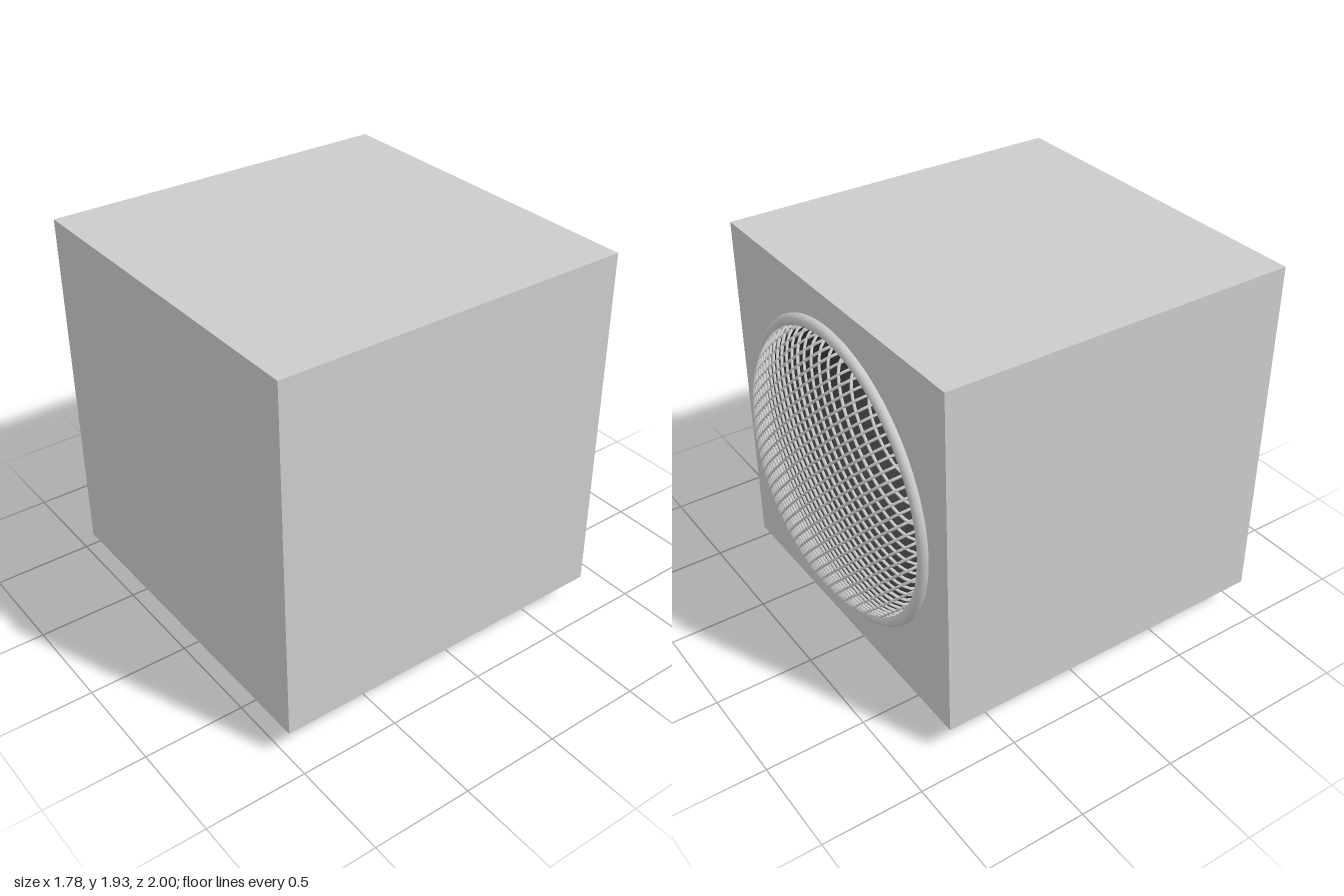
import * as THREE from 'three';

const CY = 1.04;      // height of the cabinet centre
const BACK = -0.775;  // z of the back panel
const HALF = 0.89;

const mat = (color, extra = {}) => new THREE.MeshStandardMaterial({ color, ...extra });

function add(parent, name, geometry, material, x = 0, y = 0, z = 0) {
  const mesh = new THREE.Mesh(geometry, material);
  mesh.name = name;
  mesh.position.set(x, y, z);
  parent.add(mesh);
  return mesh;
}

// Woven guard: a diagonal grid of wires laid over a shallow ellipsoid
function buildGrille(material) {
  const grille = new THREE.Group();
  grille.name = 'grille';
  const R = 0.7, bulge = 0.225, spacing = 0.045, wire = 0.007;
  for (const angle of [Math.PI / 4, -Math.PI / 4]) {
    const c = Math.cos(angle), s = Math.sin(angle);
    for (let i = -15; i <= 15; i++) {
      const d = i * spacing;
      const r = Math.sqrt(R * R - d * d);   // half length of this wire
      const h = bulge * r / R - wire;       // its rise at mid-length
      const points = [];
      for (let k = 0; k <= 16; k++) {
        const t = Math.PI * k / 16;
        const u = -r * Math.cos(t);
        points.push(new THREE.Vector3(u * c - d * s, u * s + d * c, -h * Math.sin(t)));
      }
      const curve = new THREE.CatmullRomCurve3(points);
      add(grille, 'grilleWire', new THREE.TubeGeometry(curve, 36, wire, 6), material);
    }
  }
  grille.position.set(0, CY, BACK);
  return grille;
}

// Square socket foot with chamfered rim and a hollow underside
function buildFoot() {
  const foot = new THREE.Group();
  foot.name = 'foot';
  const blue = mat(0x0e49c2, { flatShading: true });
  const profile = [[0, 0.05], [0.1, 0.05], [0.135, 0.008], [0.135, 0], [0.18, 0], [0.21, 0.015], [0.21, 0.15]]
    .map(([x, y]) => new THREE.Vector2(x * Math.SQRT2, y));
  add(foot, 'footBody', new THREE.LatheGeometry(profile, 4, Math.PI / 4), blue);
  // centre peg and four pegs around it
  add(foot, 'centrePeg', new THREE.CylinderGeometry(0.024, 0.024, 0.04, 12), blue, 0, 0.032, 0);
  for (let i = 0; i < 4; i++) {
    const a = i * Math.PI / 2;
    add(foot, 'sidePeg', new THREE.CylinderGeometry(0.015, 0.015, 0.03, 10), blue,
      0.062 * Math.cos(a), 0.037, 0.062 * Math.sin(a));
  }
  foot.position.z = 0.11;
  return foot;
}

export function createModel() {
  const model = new THREE.Group();
  model.name = 'speaker';
  const grey = mat(0xcccccc);

  // Cabinet: a box without its back, closed by a panel with a round opening
  const depth = 1 - BACK;
  const box = new THREE.BoxGeometry(2 * HALF, 2 * HALF, depth);
  box.setIndex(Array.from(box.index.array).slice(0, 30));
  box.clearGroups();
  add(model, 'cabinet', box, grey, 0, CY, BACK + depth / 2);

  const panel = new THREE.Shape([[-1, -1], [1, -1], [1, 1], [-1, 1]]
    .map(([x, y]) => new THREE.Vector2(x * HALF, y * HALF)));
  panel.holes.push(new THREE.Path().absarc(0, 0, 0.7, 0, Math.PI * 2, true));
  add(model, 'backPanel', new THREE.ShapeGeometry(panel, 48).rotateY(Math.PI), grey, 0, CY, BACK);

  // Recessed cone and its dark centre
  const coneDepth = 0.7;
  add(model, 'speakerCone',
    new THREE.CylinderGeometry(0.39, 0.7, coneDepth, 64, 1, true).rotateX(Math.PI / 2),
    mat(0x3a3a3a, { side: THREE.DoubleSide }), 0, CY, BACK + coneDepth / 2);
  add(model, 'coneCentre', new THREE.CircleGeometry(0.39, 64).rotateY(Math.PI),
    mat(0x0a0a0a), 0, CY, BACK + coneDepth);

  // Rim ring and wire guard
  add(model, 'rimRing', new THREE.TorusGeometry(0.72, 0.03, 16, 96), grey, 0, CY, BACK - 0.005);
  model.add(buildGrille(grey));

  model.add(buildFoot());
  return model;
}
